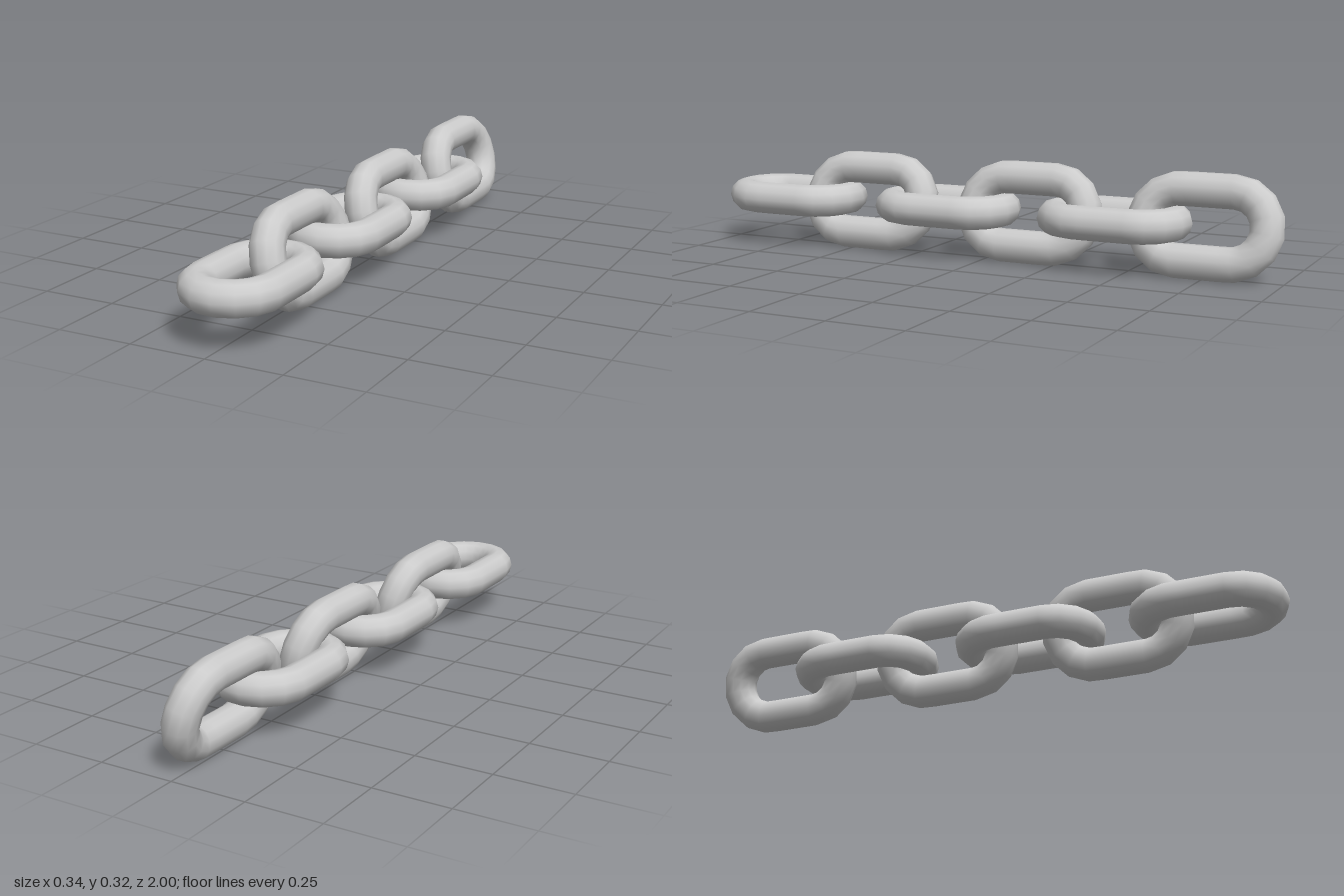
import * as THREE from 'three';

const BEND = 0.113;   // centre-line radius of the rounded ends
const HALF = 0.087;   // half the straight side
const WIRE = 0.055;   // bar radius
const PITCH = 0.298;  // distance between neighbouring links

// Stadium-shaped centre line in the xz plane, even in arc length
class LinkCurve extends THREE.Curve {
  getPoint(t, target = new THREE.Vector3()) {
    const arc = Math.PI * BEND;
    const side = 2 * HALF;
    let s = (t % 1) * 2 * (arc + side);
    const flip = s >= arc + side ? -1 : 1;
    if (flip < 0) s -= arc + side;
    if (s < side) return target.set(flip * BEND, 0, flip * (s - HALF));
    const a = (s - side) / BEND;
    return target.set(flip * BEND * Math.cos(a), 0, flip * (HALF + BEND * Math.sin(a)));
  }
}

export function createModel() {
  const chain = new THREE.Group();
  chain.name = 'chain';
  const material = new THREE.MeshStandardMaterial({ color: 0xcccccc });
  const geometry = new THREE.TubeGeometry(new LinkCurve(), 22, WIRE, 12, true);

  // Six links from front to back, flat and upright in turn
  for (let i = 0; i < 6; i++) {
    const upright = i % 2 === 1;
    const link = new THREE.Mesh(geometry, material);
    link.name = (upright ? 'uprightLink' : 'flatLink') + (Math.floor(i / 2) + 1);
    link.position.set(0, 0.167, (2.5 - i) * PITCH);
    // Upright links lean 15 degrees past vertical
    if (upright) link.rotation.z = THREE.MathUtils.degToRad(105);
    chain.add(link);
  }
  return chain;
}
